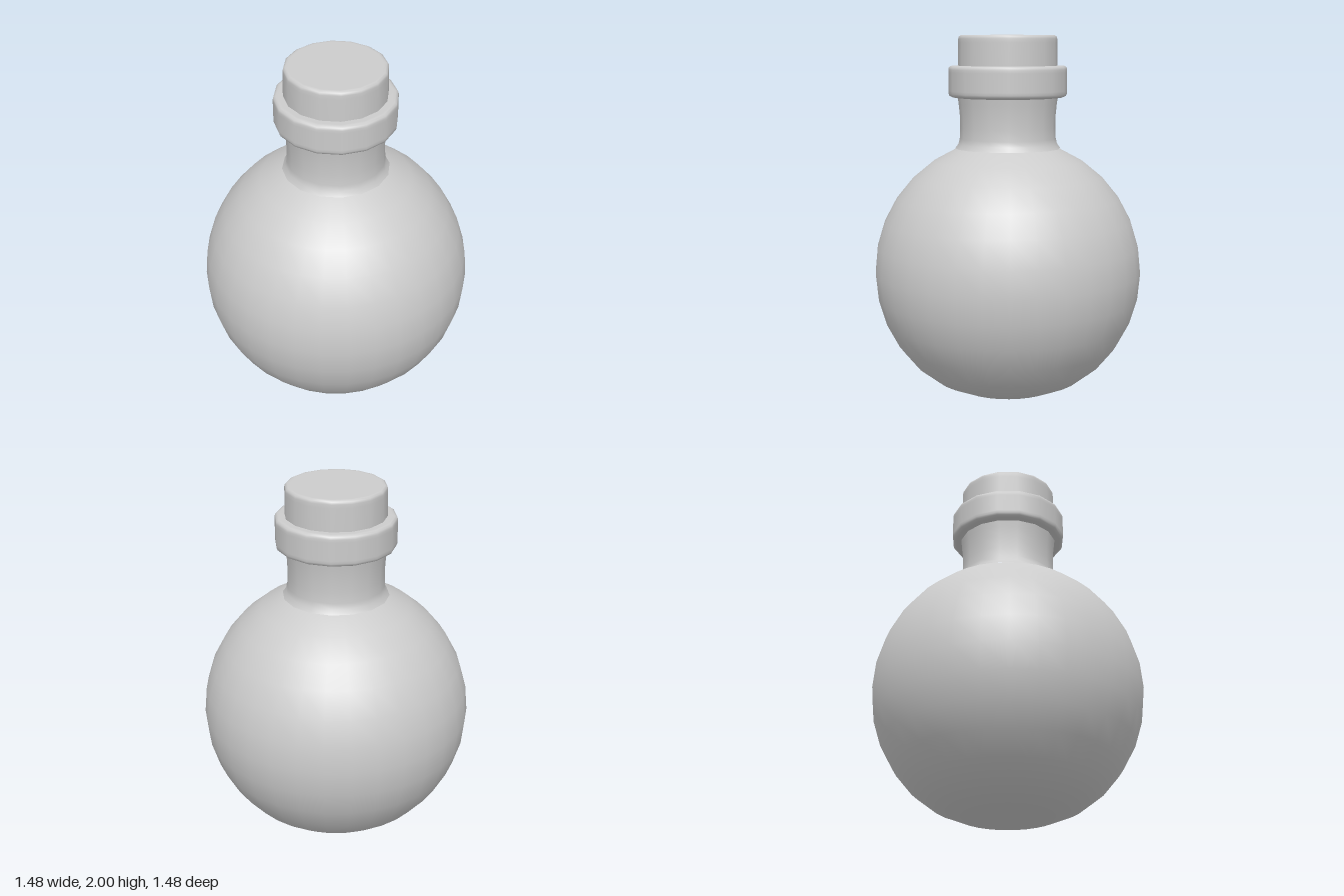
import * as THREE from 'three';

const material = new THREE.MeshStandardMaterial({ color: 0xcccccc });

// Turned part from [radius, height] pairs, listed from bottom to top
function turned(name, profile, sides) {
  const points = profile.map(([r, y]) => new THREE.Vector2(r, y));
  const mesh = new THREE.Mesh(new THREE.LatheGeometry(points, sides), material);
  mesh.name = name;
  return mesh;
}

export function createModel() {
  const group = new THREE.Group();
  group.name = 'stopperedFlask';

  // Round body: a sphere with a slightly flattened base and an opening under the neck
  const radius = 0.74, centre = 0.7;
  const bodyProfile = [[0, 0], [0.145, 0.01], [0.285, 0.036], [0.411, 0.09]];
  for (let i = 4; i <= 14; i++) {
    const a = (i / 16) * Math.PI;
    bodyProfile.push([radius * Math.sin(a), centre - radius * Math.cos(a)]);
  }
  bodyProfile.push([0.2, 1.42]);
  group.add(turned('body', bodyProfile, 32));

  // Slightly waisted neck
  group.add(turned('neck', [
    [0.29, 1.385], [0.272, 1.41], [0.265, 1.44], [0.262, 1.5],
    [0.264, 1.57], [0.27, 1.63], [0.277, 1.68],
  ], 16));

  // Collar with softened edges
  group.add(turned('collar', [
    [0.25, 1.663], [0.285, 1.663], [0.305, 1.665], [0.32, 1.672], [0.325, 1.685], [0.325, 1.7],
    [0.325, 1.8], [0.325, 1.815], [0.322, 1.828], [0.31, 1.835], [0.298, 1.836], [0.25, 1.836],
  ], 16));

  // Stopper with a softened top edge
  group.add(turned('stopper', [
    [0.272, 1.8], [0.272, 1.85], [0.27, 1.96], [0.27, 1.98],
    [0.267, 1.993], [0.256, 2], [0.245, 2], [0, 2],
  ], 16));

  return group;
}
